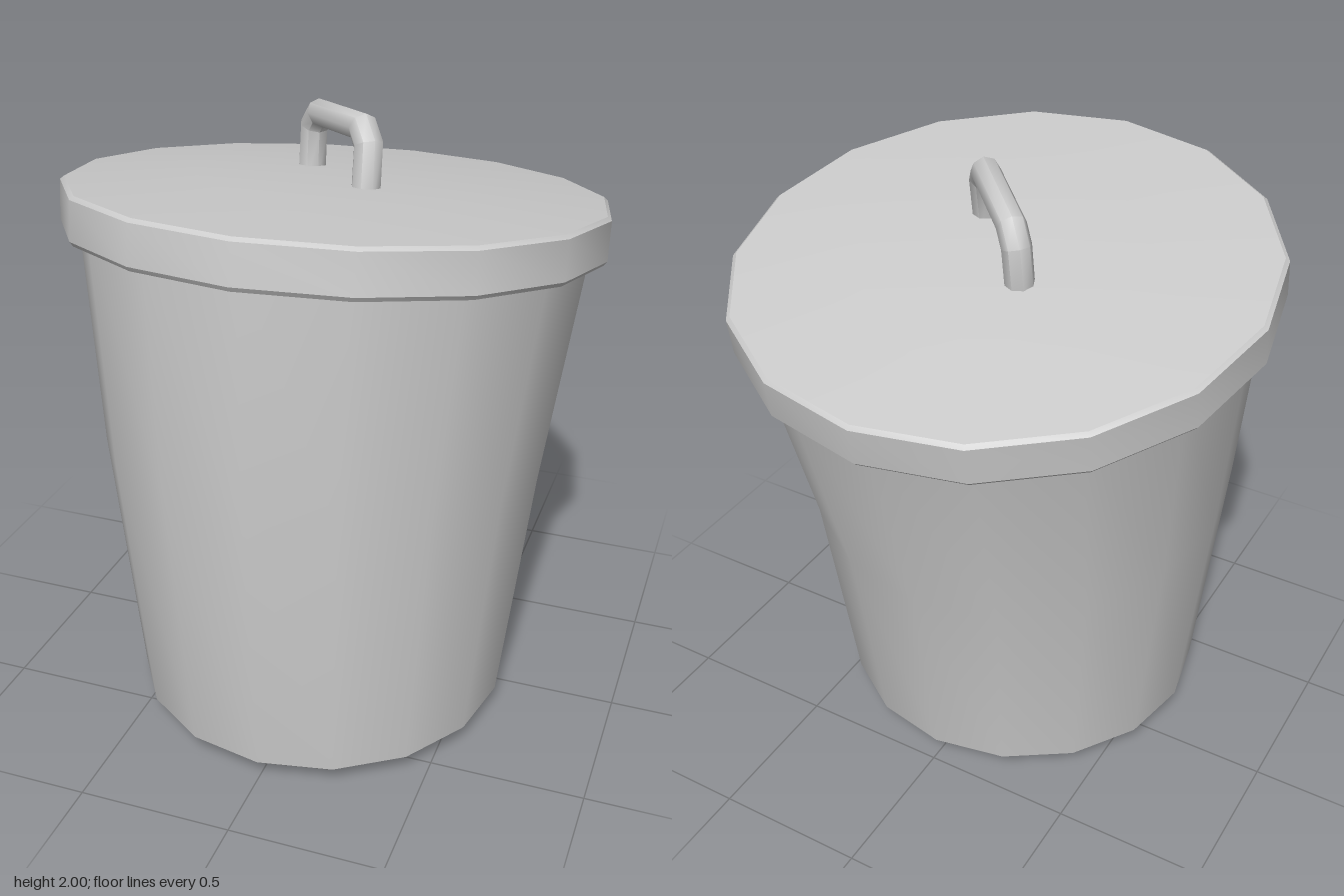
import * as THREE from 'three';
import { toCreasedNormals } from 'three/addons/utils/BufferGeometryUtils.js';

const SIDES = 16;
const TILT = 0.153;
const material = new THREE.MeshStandardMaterial({ color: 0xcccccc, side: THREE.DoubleSide });

const lathe = (profile) =>
  new THREE.LatheGeometry(profile.map(([r, y]) => new THREE.Vector2(r, y)), SIDES);

function addMesh(parent, name, geometry, crease) {
  const mesh = new THREE.Mesh(toCreasedNormals(geometry, crease), material);
  mesh.name = name;
  parent.add(mesh);
  return mesh;
}

// Polyline whose corners are sampled exactly, so tube rings sit on the bends
class Polyline extends THREE.Curve {
  constructor(points) {
    super();
    this.points = points;
  }
  getPoint(t, target = new THREE.Vector3()) {
    const n = this.points.length - 1;
    const i = Math.min(Math.floor(t * n + 1e-9), n - 1);
    return target.lerpVectors(this.points[i], this.points[i + 1], t * n - i);
  }
  getPointAt(t, target) {
    return this.getPoint(t, target);
  }
  // Average the directions of the two neighbouring pieces for mitred corners
  getTangentAt(t, target = new THREE.Vector3()) {
    const p = this.points, n = p.length - 1, i = Math.round(t * n);
    const dir = (k) => p[k + 1].clone().sub(p[k]).normalize();
    return target.copy(dir(Math.max(i - 1, 0))).add(dir(Math.min(i, n - 1))).normalize();
  }
}

// Tapered body whose upper rings tilt and lean back
function bodyGeometry() {
  const geometry = lathe([[0, 0], [0.54, 0], [0.62, 0.07], [0.71, 0.89], [0.805, 1.66]]);
  const pos = geometry.attributes.position;
  for (let i = 0; i < pos.count; i++) {
    const y = pos.getY(i), z = pos.getZ(i);
    const tilt = TILT * THREE.MathUtils.smoothstep(y, 0.07, 0.89);
    const shift = y < 0.8 ? 0.14 : y < 1 ? 0.12 : 0.003;
    pos.setY(i, y + z * Math.sin(tilt));
    pos.setZ(i, z * Math.cos(tilt) + shift);
  }
  return geometry;
}

export function createModel() {
  const bin = new THREE.Group();
  bin.name = 'trashCan';
  addMesh(bin, 'body', bodyGeometry(), 0.6);

  // Tilted lid group
  const lid = new THREE.Group();
  lid.name = 'lid';
  lid.position.set(0, 1.59, 0.0125);
  lid.rotation.x = -TILT;
  bin.add(lid);

  // Hollow underside, bevelled rim and shallow dome
  addMesh(lid, 'lidCover', lathe([
    [0, 0.11], [0.815, 0.11], [0.815, 0], [0.842, 0], [0.853, 0.014],
    [0.853, 0.136], [0.84, 0.147], [0.45, 0.177], [0, 0.187],
  ]), 0.5);

  // Diagonal handle with chamfered corners
  const legX = 0.196, top = 0.352, cut = 0.045;
  const half = [[legX, 0.13], [legX, top - cut], [legX - cut, top]];
  const path = [...half.map(([x, y]) => [-x, y]), ...half.reverse()]
    .map(([x, y]) => new THREE.Vector3(x, y, 0));
  const handle = addMesh(lid, 'handle',
    new THREE.TubeGeometry(new Polyline(path), path.length - 1, 0.046, 8), 0.85);
  handle.rotation.y = -0.8;

  return bin;
}
